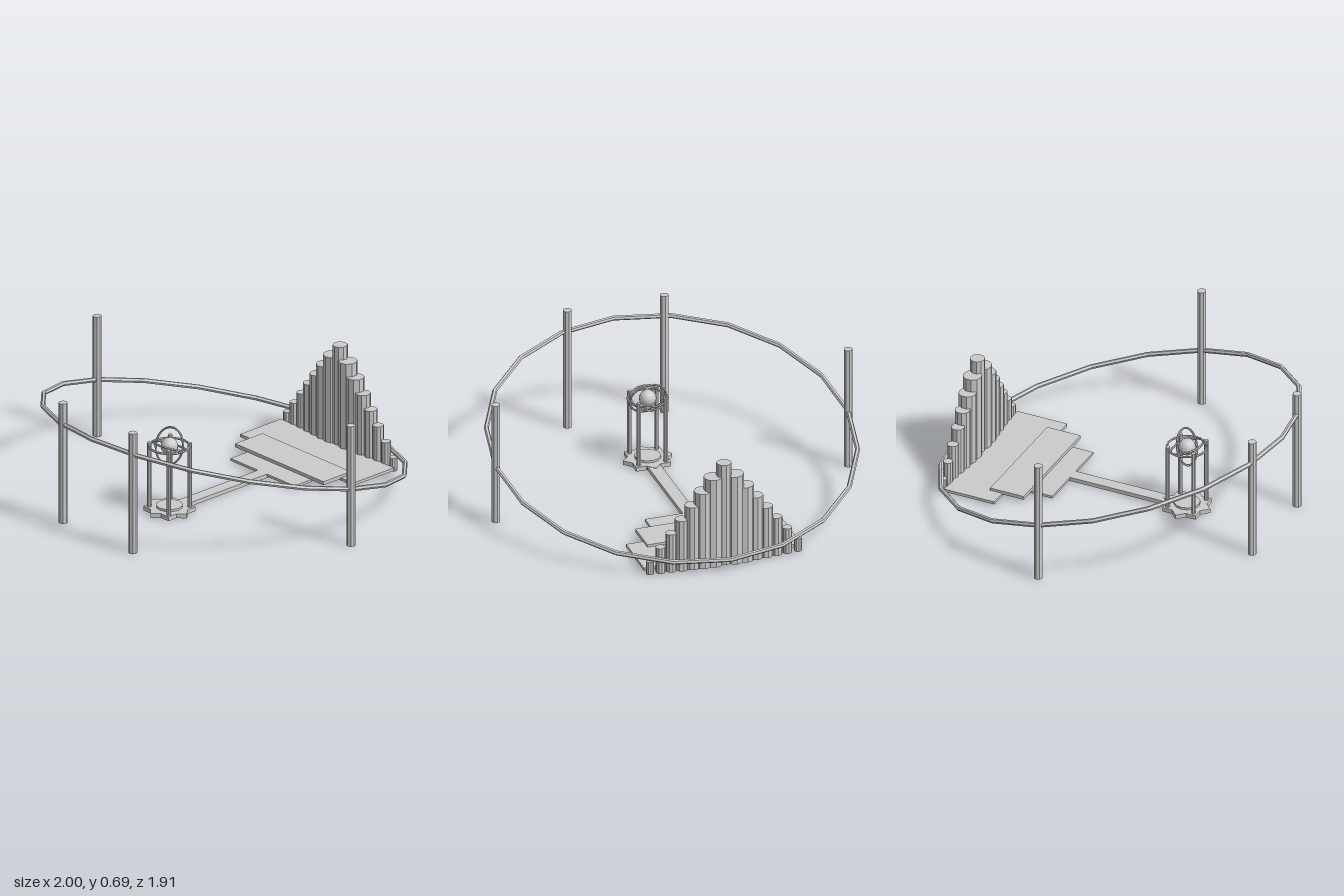
import * as THREE from 'three';

const mat = new THREE.MeshStandardMaterial({ color: 0xcccccc, flatShading: true });

export function createModel() {
  const model = new THREE.Group();
  const add = (name, geometry, x, y, z, parent = model) => {
    const mesh = new THREE.Mesh(geometry, mat);
    mesh.name = name;
    mesh.position.set(x, y, z);
    parent.add(mesh);
    return mesh;
  };
  const group = (name) => {
    const g = new THREE.Group();
    g.name = name;
    model.add(g);
    return g;
  };
  // Upright cylinder standing at height y
  const column = (name, r, h, sides, x, y, z, parent) =>
    add(name, new THREE.CylinderGeometry(r, r, h, sides), x, y + h / 2, z, parent);
  // Flat slab given by half width, height range and depth range
  const slab = (name, hw, y0, y1, z0, z1, parent) =>
    add(name, new THREE.BoxGeometry(hw * 2, y1 - y0, z1 - z0), 0, (y0 + y1) / 2, (z0 + z1) / 2, parent);

  // Big tilted ring carried by four posts
  const ring = add('tiltedRing', new THREE.TorusGeometry(0.975, 0.013, 6, 20), 0, 0.32, 0);
  ring.rotation.x = Math.PI / 2 - THREE.MathUtils.degToRad(15);
  const posts = group('ringPosts');
  for (const s of [-1, 1]) {
    column('sidePost', 0.024, 0.685, 8, s * 0.975, 0, 0, posts);
    column('frontPost', 0.024, 0.685, 8, s * 0.268, 0, 0.9, posts);
  }

  // Wall of pipes, tallest in the middle
  const pipes = group('pipeWall');
  const radii = [0.04, 0.051, 0.048, 0.041, 0.036, 0.03, 0.026, 0.021];
  for (let i = -7; i <= 7; i++) {
    const n = Math.abs(i);
    column('pipe', radii[n], 0.585 - n * 0.073, 10, i * 0.0585, 0, -0.83, pipes);
  }

  // Overlapping stage slabs and the walkway
  const stage = group('stage');
  slab('backSlab', 0.435, 0.01, 0.026, -0.81, -0.52, stage);
  slab('middleSlab', 0.34, 0.02, 0.04, -0.59, -0.395, stage);
  slab('frontSlab', 0.245, 0.008, 0.022, -0.4, -0.275, stage);
  slab('walkway', 0.035, 0, 0.022, -0.29, 0.3, stage);

  // Eight-pointed base of the pavilion
  const pz = 0.39;
  const pavilion = group('pavilion');
  const star = new THREE.Shape(
    Array.from({ length: 16 }, (_, i) => {
      const r = i % 2 ? 0.104 : 0.136;
      const a = (i * Math.PI) / 8;
      return new THREE.Vector2(r * Math.cos(a), r * Math.sin(a));
    })
  );
  const base = new THREE.ExtrudeGeometry(star, { depth: 0.024, bevelEnabled: false });
  add('starBase', base, 0, 0, pz, pavilion).rotation.x = -Math.PI / 2;
  column('baseDisc', 0.07, 0.012, 12, 0, 0.024, pz, pavilion);
  for (const sx of [-1, 1])
    for (const sz of [-1, 1])
      column('pavilionPost', 0.012, 0.368, 8, sx * 0.075, 0.022, pz + sz * 0.075, pavilion);

  // Globe inside three rings: level, slightly tilted, and nearly upright
  add('globe', new THREE.SphereGeometry(0.046, 16, 10), 0, 0.37, pz, pavilion);
  [[0.106, 90], [0.09, 70], [0.099, 20]].forEach(([r, tilt]) => {
    const hoop = add('globeRing', new THREE.TorusGeometry(r, 0.006, 6, 20), 0, 0.37, pz, pavilion);
    hoop.rotation.x = THREE.MathUtils.degToRad(tilt === 20 ? -tilt : tilt);
  });

  return model;
}
